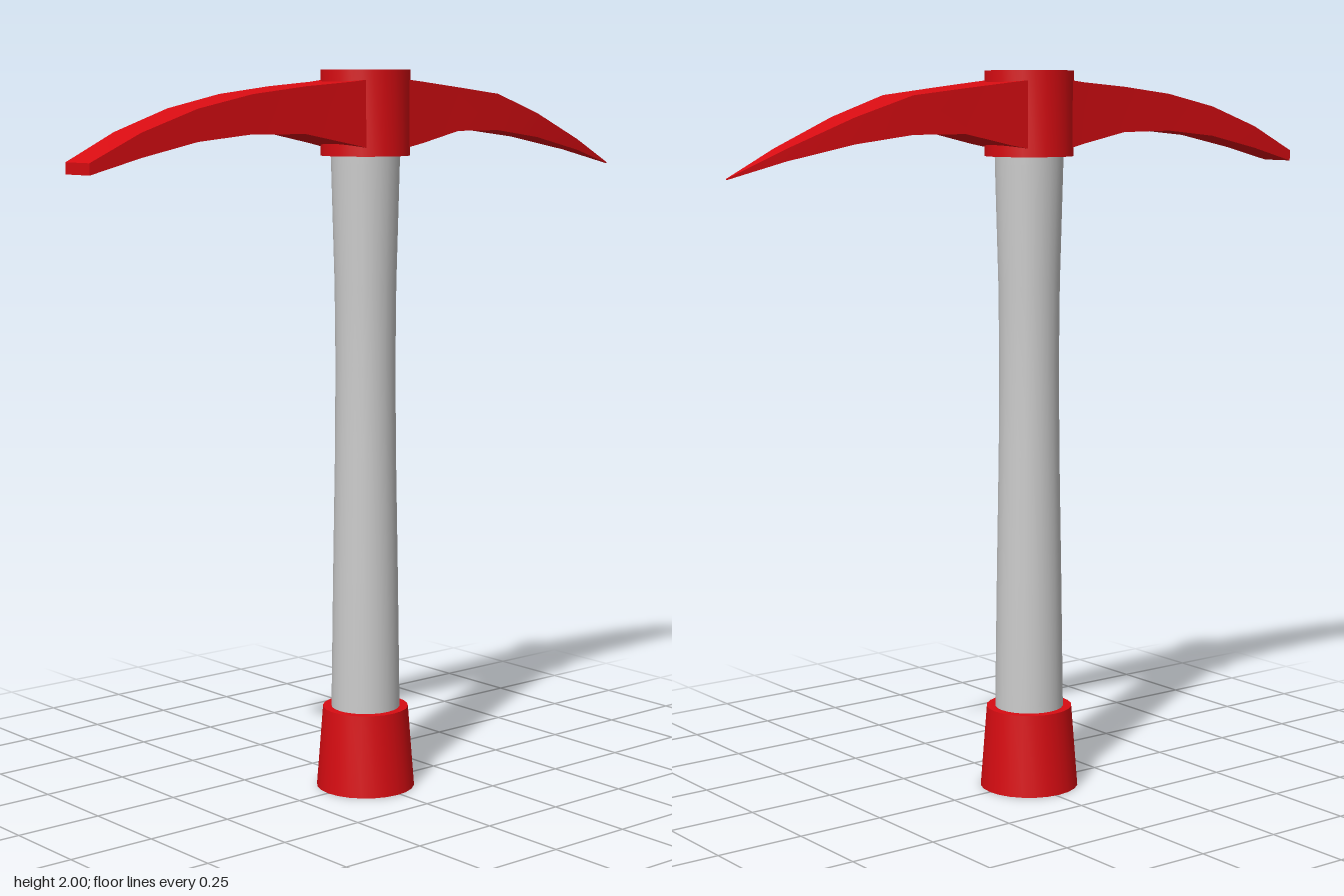
import * as THREE from 'three';
import { toCreasedNormals } from 'three/addons/utils/BufferGeometryUtils.js';

const red = new THREE.MeshStandardMaterial({ color: 0xd80c12 });
const grey = new THREE.MeshStandardMaterial({ color: 0xcccccc });
const AXIS_X = -0.01; // the shaft sits slightly off centre

function addMesh(group, name, geometry, material) {
  const mesh = new THREE.Mesh(geometry, material);
  mesh.name = name;
  group.add(mesh);
  return mesh;
}

// Turned part with smooth sides and sharp rims
function turned(profile, segments = 24) {
  const points = profile.map(([r, y]) => new THREE.Vector2(r, y));
  return toCreasedNormals(new THREE.LatheGeometry(points, segments), 0.6);
}

// Rectangular bar through sections [x, top, bottom, halfDepth], listed by increasing x
function bladeGeometry(sections) {
  const corners = sections.map(([x, top, bottom, d]) => [
    [x, top, d], [x, top, -d], [x, bottom, -d], [x, bottom, d],
  ]);
  const positions = [], index = [];
  // each of the four sides is its own strip, so long edges stay sharp
  for (let side = 0; side < 4; side++) {
    const start = positions.length / 3;
    for (const c of corners) positions.push(...c[side], ...c[(side + 1) % 4]);
    for (let i = 0; i < corners.length - 1; i++) {
      const a = start + i * 2;
      index.push(a, a + 2, a + 3, a, a + 3, a + 1);
    }
  }
  // end caps
  const cap = (c) => {
    const s = positions.length / 3;
    c.forEach((p) => positions.push(...p));
    index.push(s, s + 1, s + 2, s, s + 2, s + 3);
  };
  cap(corners[0]);
  cap([...corners[corners.length - 1]].reverse());
  const geometry = new THREE.BufferGeometry();
  geometry.setAttribute('position', new THREE.Float32BufferAttribute(positions, 3));
  geometry.setIndex(index);
  geometry.computeVertexNormals();
  return geometry;
}

export function createModel() {
  const model = new THREE.Group();
  model.name = 'pickaxe';

  // Handle: slightly waisted shaft
  addMesh(model, 'handle', turned([
    [0, 0.1], [0.097, 0.1], [0.096, 0.25], [0.091, 0.6], [0.085, 0.95],
    [0.083, 1.2], [0.085, 1.42], [0.094, 1.75], [0.097, 1.985], [0, 1.985],
  ]), grey).position.x = AXIS_X;

  // Flared end cap at the foot
  addMesh(model, 'endCap', turned([
    [0, 0], [0.138, 0], [0.12, 0.23], [0.096, 0.23],
  ]), red).position.x = AXIS_X;

  // Collar: ring around the top of the handle
  addMesh(model, 'collar', turned([
    [0.093, 1.77], [0.122, 1.77], [0.122, 2], [0.097, 2], [0.097, 1.97],
  ]), red).position.x = AXIS_X;

  // Pointed arm
  addMesh(model, 'pointedArm', bladeGeometry([
    [0.05, 1.975, 1.79, 0.095], [0.12, 1.968, 1.803, 0.09], [0.26, 1.953, 1.834, 0.08],
    [0.42, 1.935, 1.834, 0.07], [0.59, 1.88, 1.812, 0.055], [0.78, 1.803, 1.772, 0.03],
    [0.935, 1.732, 1.729, 0.002],
  ]), red);

  // Chisel arm
  addMesh(model, 'chiselArm', bladeGeometry([
    [-0.94, 1.77, 1.74, 0.053], [-0.79, 1.842, 1.78, 0.06], [-0.62, 1.9, 1.817, 0.066],
    [-0.45, 1.936, 1.834, 0.072], [-0.28, 1.956, 1.832, 0.08], [-0.13, 1.968, 1.803, 0.09],
    [-0.07, 1.975, 1.79, 0.095],
  ]), red);

  return model;
}
